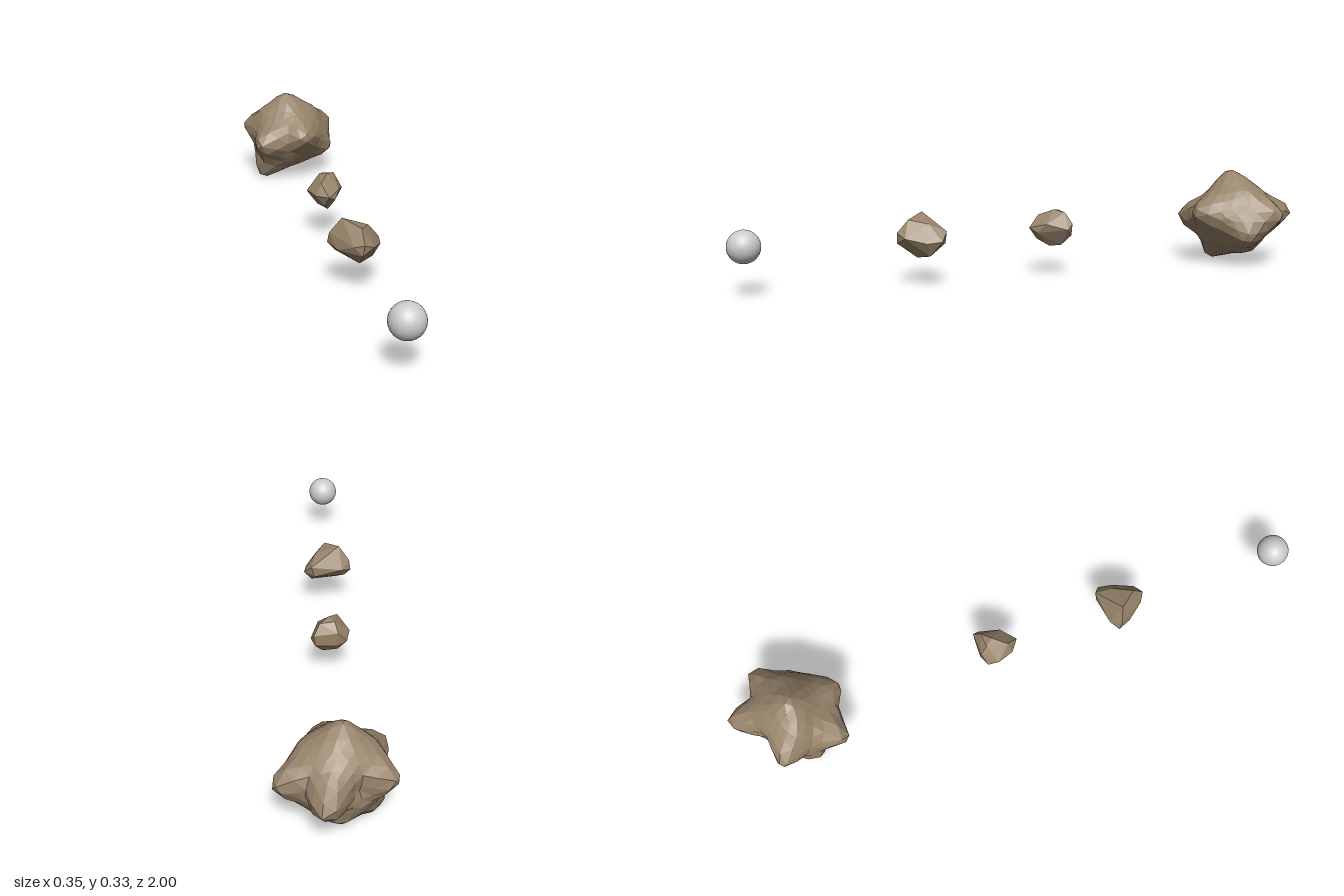
import * as THREE from 'three';
import { ConvexGeometry } from 'three/addons/geometries/ConvexGeometry.js';

const rock = new THREE.MeshStandardMaterial({ color: 0x97836a, flatShading: true });
rock.name = 'rock brown';
const pale = new THREE.MeshStandardMaterial({ color: 0xcccccc, flatShading: true });
pale.name = 'pale grey';

const vec = (p) => new THREE.Vector3(...p);

// Faceted ball whose surface is pulled through the given peaks and dents
function peakedRock(center, base, points, sharpness) {
  const c = vec(center);
  const bumps = points.map((p) => {
    const dir = vec(p).sub(c);
    const target = dir.length();
    return { dir: dir.normalize(), target, rise: 0 };
  });
  const radius = (d) => bumps.reduce(
    (r, b) => r + b.rise * Math.exp(-sharpness * (1 - d.dot(b.dir))), base);
  // Settle the heights so that overlapping bumps still meet their points
  for (let pass = 0; pass < 40; pass++) {
    for (const b of bumps) b.rise += 0.8 * (b.target - radius(b.dir));
  }
  const geo = new THREE.IcosahedronGeometry(1, 4);
  const pos = geo.attributes.position;
  for (let i = 0; i < pos.count; i++) {
    const v = new THREE.Vector3().fromBufferAttribute(pos, i).normalize();
    // Gather corners towards the tips
    const shift = new THREE.Vector3();
    for (const b of bumps) {
      const near = 0.7 * Math.exp(-60 * (1 - v.dot(b.dir)));
      shift.addScaledVector(b.dir, near).addScaledVector(v, -near);
    }
    v.add(shift).normalize();
    v.multiplyScalar(radius(v)).add(c);
    pos.setXYZ(i, v.x, v.y, v.z);
  }
  geo.computeVertexNormals();
  return geo;
}

function add(group, name, geometry, material) {
  const mesh = new THREE.Mesh(geometry, material);
  mesh.name = name;
  group.add(mesh);
  return mesh;
}

export function createModel() {
  const group = new THREE.Group();
  group.name = 'asteroids';

  // Big asteroid at the back
  add(group, 'largeAsteroid', peakedRock([0, 0.165, -0.8], 0.13, [
    [0.045, 0.172, -1.0],   // back spike
    [0.17, 0.185, -0.89],   // left back spike
    [0.03, 0.19, -0.615],   // front nose
    [-0.145, 0.158, -0.642], // right front spike
    [-0.172, 0.19, -0.87],  // right back spike
    [-0.02, 0.33, -0.78],   // crown
    [-0.125, 0.004, -0.76], // lower spike
    [0.16, 0.1, -0.77],     // left shoulder
    [-0.01, 0.04, -0.88],   // underside
    [0.03, 0.032, -0.8],
    [0.1, 0.265, -0.79],    // upper slopes
    [-0.115, 0.265, -0.79],
    [0, 0.265, -0.7],
    [0, 0.285, -0.86],
    [0.1, 0.17, -0.69],     // sides
    [-0.145, 0.17, -0.76],
    [-0.145, 0.1, -0.77],
    [-0.03, 0.075, -0.69],
    [0.095, 0.17, -0.9],    // dents around the back spike
    [-0.06, 0.17, -0.885],
    [0, 0.1, -0.9],
  ], 14), rock);

  // Middle asteroid
  add(group, 'smallAsteroid', new ConvexGeometry([
    [-0.06, 0.15, -0.125], [-0.03, 0.19, -0.14], [0.05, 0.18, -0.14], [0.06, 0.16, -0.12],
    [0.03, 0.217, -0.12], [-0.02, 0.22, -0.115], [0, 0.225, -0.09], [-0.03, 0.205, -0.045],
    [0.035, 0.18, -0.05], [-0.01, 0.165, -0.005], [0.015, 0.15, -0.025], [-0.05, 0.165, -0.035],
    [-0.07, 0.17, -0.09], [-0.02, 0.125, -0.035], [0, 0.1, -0.075], [0.02, 0.104, -0.11],
    [0.045, 0.14, -0.138], [-0.03, 0.11, -0.11], [-0.02, 0.14, -0.14],
  ].map(vec)), rock);

  // Front asteroid
  add(group, 'mediumAsteroid', new ConvexGeometry([
    [-0.092, 0.15, 0.338], [-0.087, 0.185, 0.347], [-0.05, 0.235, 0.36], [-0.06, 0.16, 0.315],
    [0.05, 0.18, 0.303], [0.04, 0.14, 0.305], [0.077, 0.15, 0.325], [0.07, 0.145, 0.375],
    [0, 0.217, 0.42], [0.035, 0.205, 0.36], [0.035, 0.16, 0.44], [0, 0.175, 0.458],
    [-0.005, 0.14, 0.456], [-0.03, 0.165, 0.44], [-0.07, 0.14, 0.385], [0, 0.09, 0.39],
    [0.05, 0.1, 0.36], [-0.04, 0.11, 0.36], [-0.07, 0.125, 0.345],
  ].map(vec)), rock);

  // Ball in front
  add(group, 'ball', new THREE.SphereGeometry(0.054, 32, 24), pale)
    .position.set(-0.006, 0.16, 0.946);

  return group;
}
